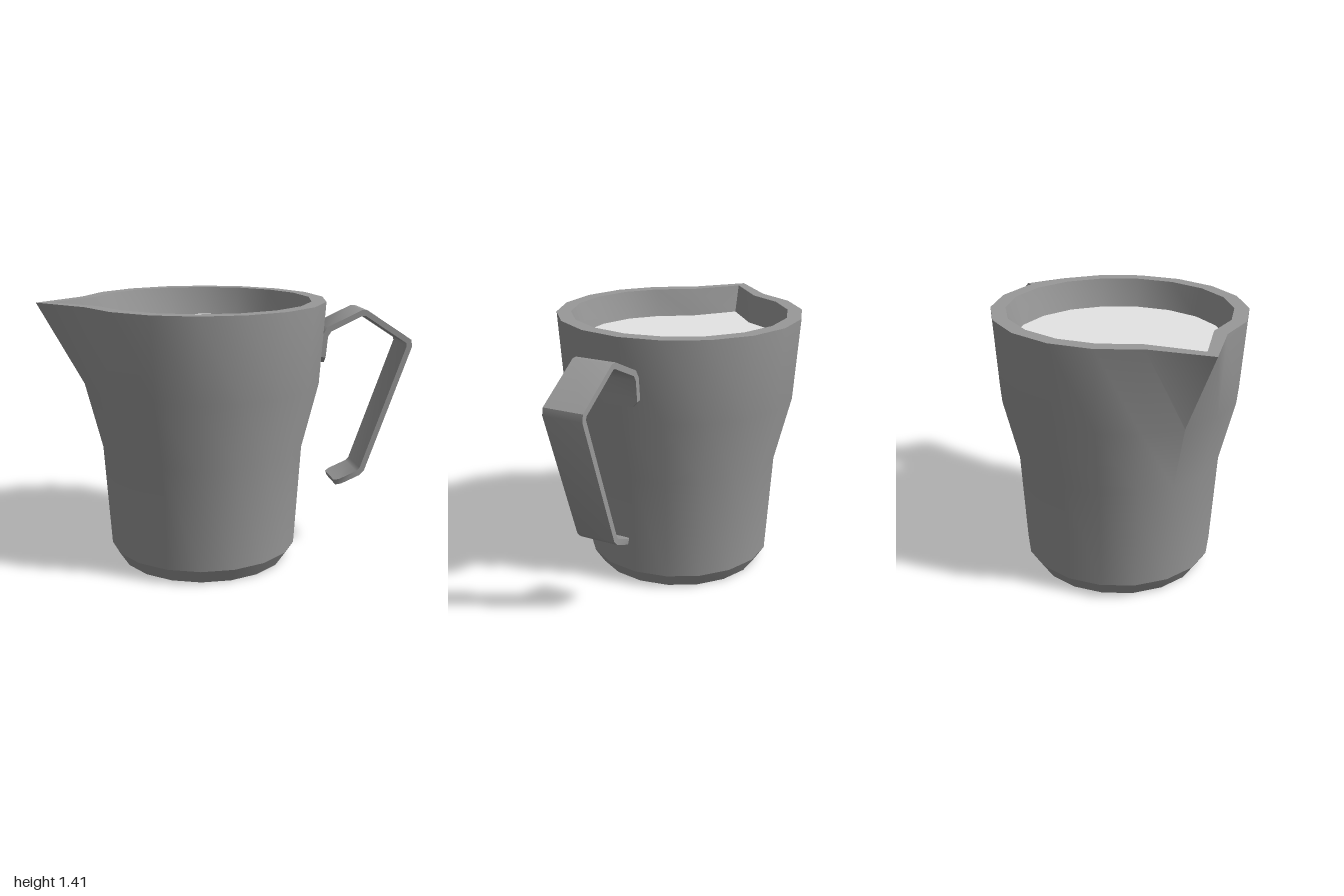
import * as THREE from 'three';
import { toCreasedNormals } from 'three/addons/utils/BufferGeometryUtils.js';

const SIDES = 18;
const CENTRE = -0.142;

// Joins closed loops of points into a skin, smooth except at sharp edges
function skin(loops, capped, crease) {
  const n = loops[0].length;
  const index = [];
  for (let i = 0; i < loops.length - 1; i++) {
    for (let k = 0; k < n; k++) {
      const a = i * n + k, b = i * n + (k + 1) % n;
      index.push(a, a + n, b + n, a, b + n, b);
    }
  }
  if (capped) {
    const e = (loops.length - 1) * n;
    for (let k = 1; k < n - 1; k++) {
      index.push(0, k, k + 1, e, e + k + 1, e + k);
    }
  }
  const geo = new THREE.BufferGeometry();
  geo.setAttribute('position', new THREE.Float32BufferAttribute(loops.flat(2), 3));
  geo.setIndex(index);
  geo.computeVertexNormals();
  return toCreasedNormals(geo, crease);
}

// Horizontal ring of the jug; the corner at -x can be drawn out to a spout
function ring(y, r, spoutX) {
  return Array.from({ length: SIDES }, (_, k) => {
    const a = (k / SIDES) * Math.PI * 2;
    const x = k === SIDES / 2 && spoutX !== undefined ? spoutX : CENTRE + r * Math.cos(a);
    return [x, y, r * Math.sin(a)];
  });
}

// Flat strip swept along a path of [x, y, half width], with mitred bends
function strip(path, half) {
  const dir = (p, q) => new THREE.Vector2(q[0] - p[0], q[1] - p[1]).normalize();
  const loops = path.map((p, i) => {
    const before = i > 0 ? dir(path[i - 1], p) : dir(p, path[1]);
    const after = i < path.length - 1 ? dir(p, path[i + 1]) : before;
    const t = before.clone().add(after).normalize();
    const m = half / t.dot(before);
    const nx = -t.y * m, ny = t.x * m, w = p[2];
    return [
      [p[0] + nx, p[1] + ny, w],
      [p[0] + nx, p[1] + ny, -w],
      [p[0] - nx, p[1] - ny, -w],
      [p[0] - nx, p[1] - ny, w],
    ];
  });
  return skin(loops, true, 0.6);
}

export function createModel() {
  const group = new THREE.Group();
  const steel = new THREE.MeshStandardMaterial({ color: 0x989898 });
  steel.name = 'grey steel';
  const white = new THREE.MeshStandardMaterial({ color: 0xe4e4e4 });
  white.name = 'milk white';

  const add = (name, geo, mat) => {
    const mesh = new THREE.Mesh(geo, mat);
    mesh.name = name;
    group.add(mesh);
  };

  // Key rings of the jug
  const foot = ring(0, 0.455);
  const footTop = ring(0.08, 0.507);
  const rimOuter = ring(1.412, 0.657, -1);
  const rimInner = ring(1.412, 0.58, -0.92);
  const milkEdge = ring(1.26, 0.545, -0.88);

  // Jug, from the underside up, over the rim and down inside
  add('base', skin([ring(0, 0), foot], false, 0.8), steel);
  add('footBevel', skin([foot, footTop], false, 0.8), steel);
  add('bodyWall', skin([footTop, ring(0.63, 0.541), ring(0.98, 0.627), rimOuter], false, 0.8), steel);
  add('rim', skin([rimOuter, rimInner], false, 0.8), steel);
  add('innerWall', skin([rimInner, milkEdge], false, 0.8), steel);
  add('milk', skin([milkEdge, ring(1.26, 0)], false, 0.8), white);

  // Bent strap handle, open at its lower end
  const w = 0.107;
  add('handle', strip([
    [0.495, 1.07, 0.08], [0.497, 1.1, w], [0.508, 1.215, w], [0.53, 1.25, w],
    [0.71, 1.333, w], [0.732, 1.332, w], [0.977, 1.172, w], [0.982, 1.145, w],
    [0.738, 0.46, w], [0.715, 0.437, w], [0.615, 0.395, w], [0.588, 0.385, 0.088],
  ], 0.015), steel);

  return group;
}
